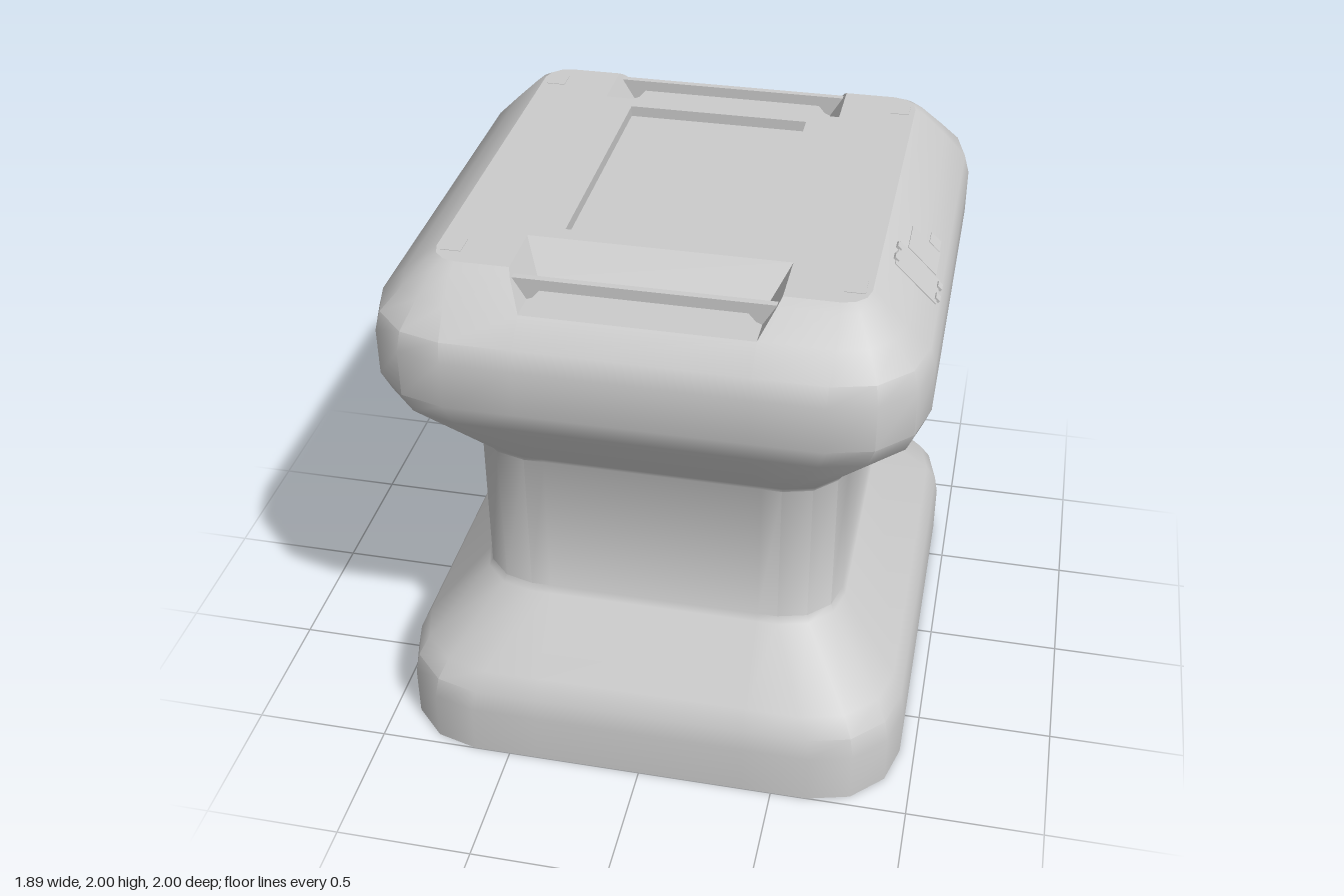
import * as THREE from 'three';
import { toCreasedNormals } from 'three/addons/utils/BufferGeometryUtils.js';

const grey = new THREE.MeshStandardMaterial({ color: 0xcccccc, side: THREE.DoubleSide });

// Body profile, bottom to top: [y, half width, half depth, corner radius]
const PROFILE = [
  [0, 0.945, 1.0, 0.31], [0.2, 0.945, 1.0, 0.31], [0.28, 0.932, 0.987, 0.31], [0.35, 0.895, 0.945, 0.3],
  [0.585, 0.685, 0.728, 0.22], [0.61, 0.672, 0.712, 0.21], [1.18, 0.672, 0.712, 0.21], [1.205, 0.685, 0.728, 0.22],
  [1.5, 0.92, 0.972, 0.31], [1.58, 0.945, 1.0, 0.31], [1.75, 0.945, 1.0, 0.31], [1.82, 0.925, 0.98, 0.29],
  [1.9, 0.843, 0.89, 0.2], [1.98, 0.76, 0.8, 0.12], [2.0, 0.725, 0.765, 0.09],
];
const FLOOR = 1.9, TOP = 2.0, POCKET_BACK = 0.55;
const SCREEN = { x: 0.335, z: 0.485, depth: 0.04 };
const CORNER_SEGMENTS = 3;

// Half width of the handle pocket at a given height
const notch = (y) => 0.39 + 0.6 * Math.max(0, y - FLOOR);

function mesh(name, geometry) {
  const m = new THREE.Mesh(geometry, grey);
  m.name = name;
  return m;
}

// Surface from a list of four-cornered faces
function quads(list, crease) {
  const pos = [];
  for (const [a, b, c, d] of list) pos.push(...a, ...b, ...c, ...a, ...c, ...d);
  const g = new THREE.BufferGeometry();
  g.setAttribute('position', new THREE.Float32BufferAttribute(pos, 3));
  return toCreasedNormals(g, crease);
}

// Rounded rectangle with extra points where the pockets cut the front and back edges
function ring([y, hx, hz, r]) {
  const pts = [];
  const corner = (sx, sz, start) => {
    for (let i = 0; i <= CORNER_SEGMENTS; i++) {
      const a = start + (i / CORNER_SEGMENTS) * Math.PI / 2;
      pts.push([sx * (hx - r) + r * Math.sin(a), y, sz * (hz - r) + r * Math.cos(a)]);
    }
  };
  const n = notch(y);
  pts.push([-n, y, hz], [n, y, hz]);
  corner(1, 1, 0);
  corner(1, -1, Math.PI / 2);
  pts.push([n, y, -hz], [-n, y, -hz]);
  corner(-1, -1, Math.PI);
  corner(-1, 1, Math.PI * 1.5);
  return pts;
}

function shell() {
  const rings = PROFILE.map(ring), faces = [];
  const count = rings[0].length;
  for (let k = 0; k < rings.length - 1; k++) {
    for (let i = 0; i < count; i++) {
      // Leave the pocket openings free
      if (PROFILE[k][0] >= FLOOR && i % (count / 2) === 0) continue;
      const j = (i + 1) % count;
      faces.push([rings[k][i], rings[k][j], rings[k + 1][j], rings[k + 1][i]]);
    }
  }
  return mesh('bodyShell', quads(faces, 0.6));
}

// Flat top with two edge notches and a screen opening
function topPanel() {
  const outline = [], pts = ring(PROFILE[PROFILE.length - 1]);
  const n = notch(TOP);
  pts.forEach((p, i) => {
    outline.push(new THREE.Vector2(p[0], -p[2]));
    if (i % (pts.length / 2) === 0) {
      const s = i === 0 ? 1 : -1;
      outline.push(new THREE.Vector2(-s * n, -s * POCKET_BACK), new THREE.Vector2(s * n, -s * POCKET_BACK));
    }
  });
  const shape = new THREE.Shape(outline);
  const { x, z } = SCREEN;
  shape.holes.push(new THREE.Path([[-x, -z], [-x, z], [x, z], [x, -z]].map((p) => new THREE.Vector2(...p))));
  const m = mesh('topPanel', new THREE.ShapeGeometry(shape));
  m.rotation.x = -Math.PI / 2;
  m.position.y = TOP;
  return m;
}

// Sunken rectangular screen
function screenRecess() {
  const { x, z, depth } = SCREEN, y = TOP - depth;
  const at = (h) => [[-x, h, z], [x, h, z], [x, h, -z], [-x, h, -z]];
  const lo = at(y), hi = at(TOP), faces = [lo];
  for (let i = 0; i < 4; i++) {
    const j = (i + 1) % 4;
    faces.push([lo[j], lo[i], hi[i], hi[j]]);
  }
  return mesh('screenRecess', quads(faces, 0.1));
}

// Pocket with sloped walls and a thin grab bar
function handle() {
  const g = new THREE.Group();
  g.name = 'handle';
  const f = notch(FLOOR), m = notch(1.98), t = notch(TOP), inner = 0.65;
  const faces = [
    [[-f, FLOOR, 0.89], [f, FLOOR, 0.89], [f, FLOOR, inner], [-f, FLOOR, inner]],
    [[-f, FLOOR, inner], [f, FLOOR, inner], [t, TOP, POCKET_BACK], [-t, TOP, POCKET_BACK]],
  ];
  const wall = (s) => [
    [[s * f, FLOOR, 0.89], [s * m, 1.98, 0.8], [s * t, TOP, POCKET_BACK], [s * f, FLOOR, inner]],
    [[s * m, 1.98, 0.8], [s * t, TOP, 0.765], [s * t, TOP, POCKET_BACK], [s * m, 1.98, 0.8]],
  ];
  faces.push(...wall(1), ...wall(-1).map((q) => q.reverse()));
  g.add(mesh('handlePocket', quads(faces, 0.3)));

  const half = [[0.437, 1.977], [0.39, FLOOR], [0.37, 1.908], [0.345, 1.937]];
  const points = [...half, ...half.map(([x, y]) => [-x, y]).reverse()];
  const bar = new THREE.ExtrudeGeometry(new THREE.Shape(points.map((p) => new THREE.Vector2(...p))), { depth: 0.025, bevelEnabled: false });
  bar.translate(0, 0, 0.763);
  g.add(mesh('handleBar', bar));
  return g;
}

// Thin latch plates lying on the left chamfer
function latch() {
  const g = new THREE.Group();
  g.name = 'sideLatch';
  const plate = (name, x, z, w, d, h) => {
    const p = mesh(name, new THREE.BoxGeometry(w, h, d));
    p.position.set(x, 0, z);
    g.add(p);
  };
  plate('latchPlate', 0, 0.365, 0.2, 0.15, 0.008);
  plate('latchArm', 0.01, 0.2, 0.14, 0.15, 0.006);
  plate('latchTip', 0.05, 0.085, 0.05, 0.07, 0.006);
  for (const x of [-0.1, 0.1]) for (const z of [0.325, 0.4]) plate('latchClip', x, z, 0.02, 0.035, 0.02);
  g.position.set(0.842, 1.9, 0);
  g.rotation.z = -Math.atan2(0.16, 0.165);
  return g;
}

export function createModel() {
  const model = new THREE.Group();
  model.name = 'pedestal';
  model.add(shell(), topPanel(), screenRecess(), latch());

  const front = handle(), back = handle();
  front.name = 'frontHandle';
  back.name = 'backHandle';
  back.rotation.y = Math.PI;
  model.add(front, back);

  // Small flush pads near the top corners
  for (const sx of [-1, 1]) for (const sz of [-1, 1]) {
    const pad = mesh('cornerPad', new THREE.BoxGeometry(0.07, 0.006, 0.08));
    pad.position.set(sx * 0.67, TOP - 0.001, sz * 0.66);
    model.add(pad);
  }
  return model;
}
